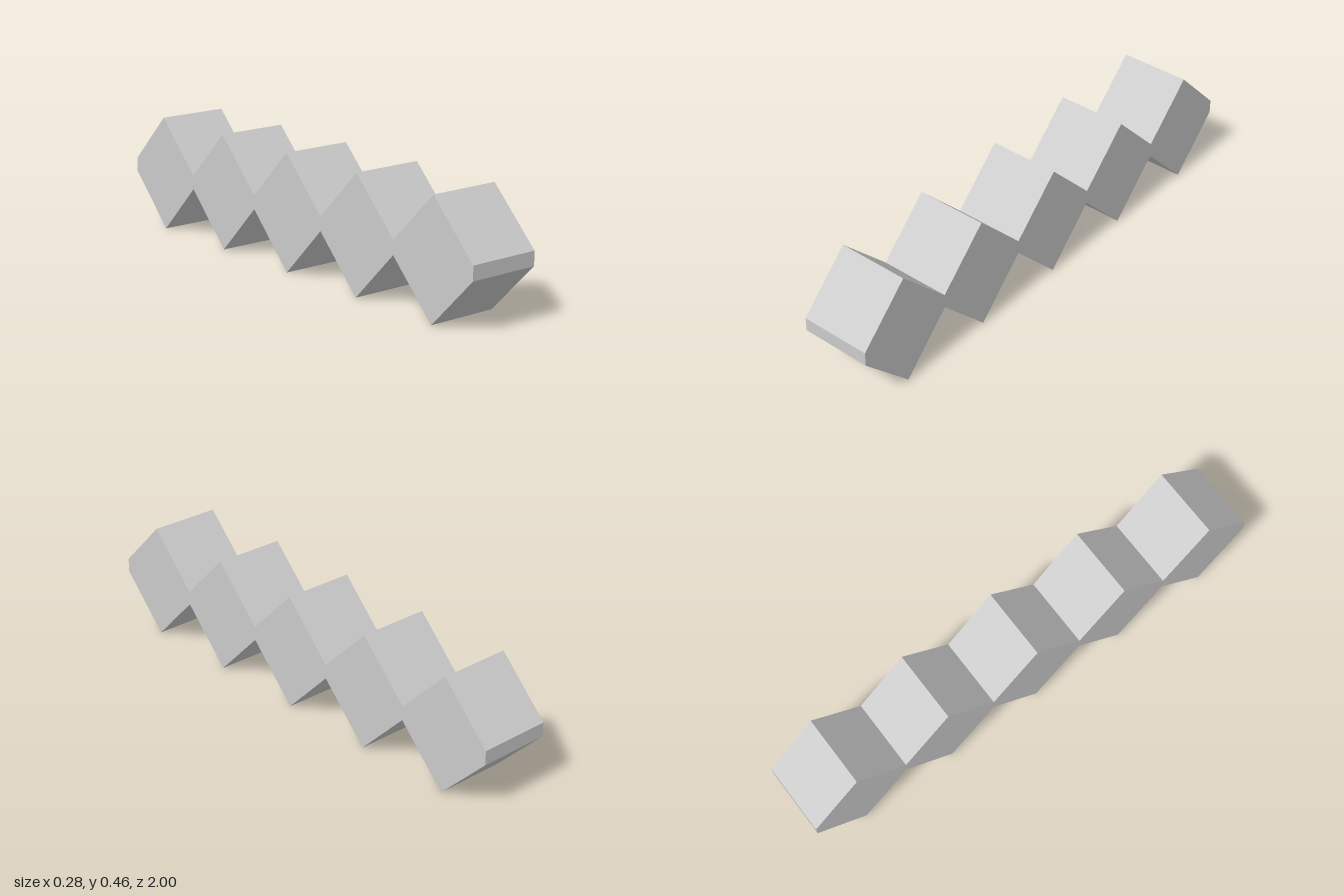
import * as THREE from 'three';

const COUNT = 5;        // diamond segments along the bar
const HALF = 0.2;       // half the length of one segment
const WIDTH = 0.284;
const PEAK = 0.459, NECK_TOP = 0.258, NECK_BOTTOM = 0.203;

export function createModel() {
  const group = new THREE.Group();
  group.name = 'zigzagBar';

  // Side outline: a zigzag along the bottom, then back along the top
  const bottom = [], top = [];
  for (let i = 0; i <= COUNT * 2; i++) {
    const x = -1 + i * HALF;
    const peak = i % 2 === 1;
    bottom.push(new THREE.Vector2(x, peak ? 0 : NECK_BOTTOM));
    top.unshift(new THREE.Vector2(x, peak ? PEAK : NECK_TOP));
  }
  const outline = new THREE.Shape([...bottom, ...top]);

  // Solid bar, running front to back
  const geometry = new THREE.ExtrudeGeometry(outline, { depth: WIDTH, bevelEnabled: false });
  geometry.translate(0, 0, -WIDTH / 2);
  geometry.rotateY(Math.PI / 2);

  const bar = new THREE.Mesh(
    geometry,
    new THREE.MeshStandardMaterial({ color: 0xcccccc, flatShading: true })
  );
  bar.name = 'diamondChain';
  group.add(bar);
  return group;
}
